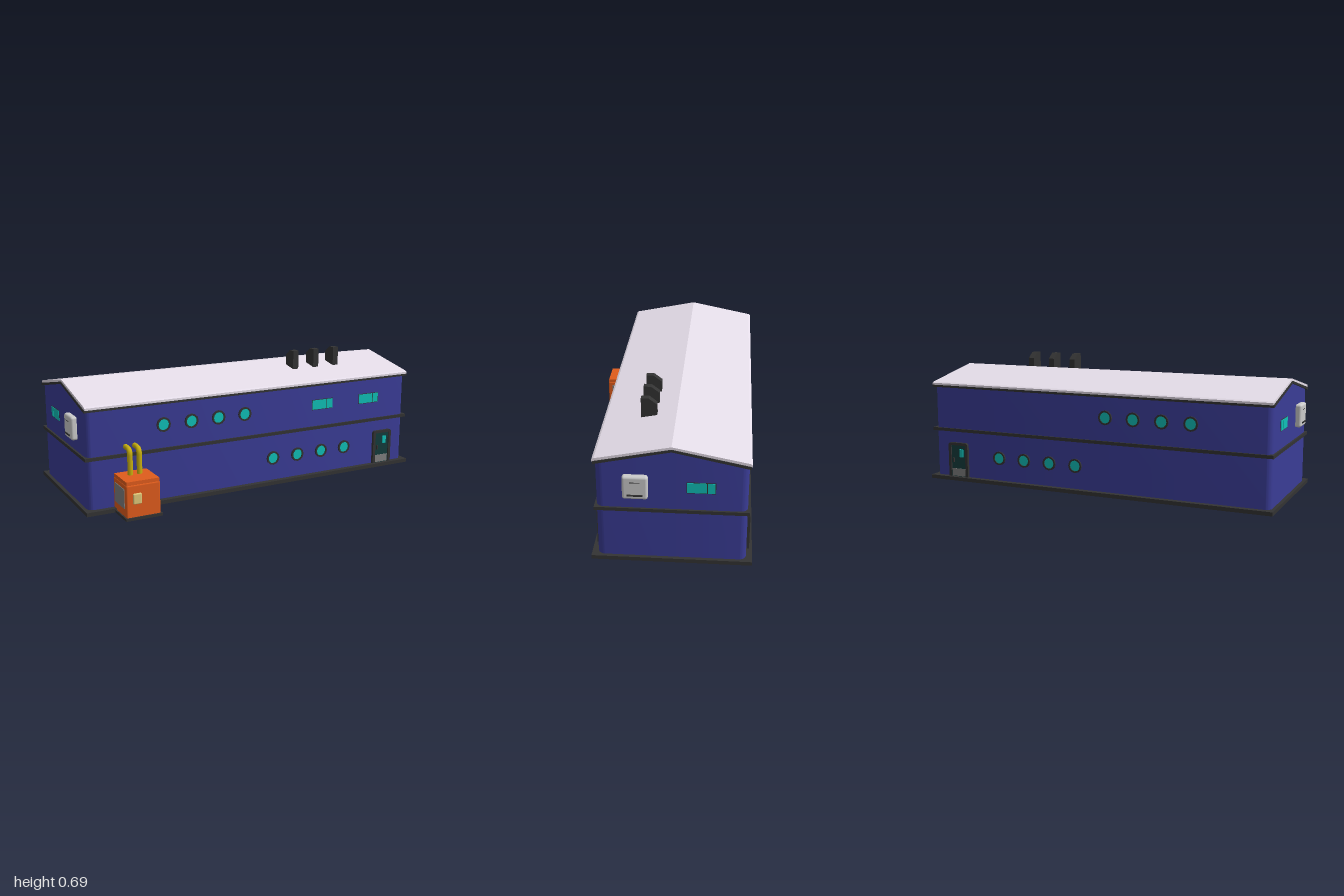
import * as THREE from 'three';
import { toCreasedNormals } from 'three/addons/utils/BufferGeometryUtils.js';
import { RoundedBoxGeometry } from 'three/addons/geometries/RoundedBoxGeometry.js';

const mat = (color) => new THREE.MeshStandardMaterial({ color });
const M = {
  wall: mat(0x3a3c96), roof: mat(0xe6deea), dark: mat(0x333333), glass: mat(0x10c0b8),
  orange: mat(0xe05c1c), yellow: mat(0xc8b010), door: mat(0x143c3c), grey: mat(0x808080),
  pale: mat(0xcccccc), cream: mat(0xe0c878),
};
const RIDGE = -0.073, FRONT = 0.282, BACK = -0.428, END = 0.965;

function add(parent, name, geo, material, x = 0, y = 0, z = 0) {
  const m = new THREE.Mesh(geo, material);
  m.name = name;
  m.position.set(x, y, z);
  parent.add(m);
  return m;
}

// box given by its limits on each axis
function span(parent, name, material, x0, x1, y0, y1, z0, z1) {
  return add(parent, name, new THREE.BoxGeometry(x1 - x0, y1 - y0, z1 - z0), material,
    (x0 + x1) / 2, (y0 + y1) / 2, (z0 + z1) / 2);
}

// (z, y) profile extruded along x, centred on x = 0
function profileX(points, width) {
  const shape = new THREE.Shape(points.map(([z, y]) => new THREE.Vector2(z, y)));
  return new THREE.ExtrudeGeometry(shape, { depth: width, bevelEnabled: false })
    .rotateY(-Math.PI / 2).translate(width / 2, 0, 0);
}

// rounded footprint raised to a gabled top
function wallGeometry() {
  const r = 0.035, s = new THREE.Shape(), yF = -FRONT, yB = -BACK;
  s.moveTo(-END + r, yF);
  s.absarc(END - r, yF + r, r, -Math.PI / 2, 0);
  s.lineTo(END, -RIDGE);
  s.absarc(END - r, yB - r, r, 0, Math.PI / 2);
  s.absarc(-END + r, yB - r, r, Math.PI / 2, Math.PI);
  s.lineTo(-END, -RIDGE);
  s.absarc(-END + r, yF + r, r, Math.PI, Math.PI * 1.5);
  const geo = new THREE.ExtrudeGeometry(s, { depth: 1, bevelEnabled: false, curveSegments: 6 });
  geo.rotateX(-Math.PI / 2);
  const p = geo.attributes.position;
  for (let i = 0; i < p.count; i++) {
    const top = 0.6 - 0.205 * Math.abs(p.getZ(i) - RIDGE);
    p.setY(i, p.getY(i) > 0.5 ? top : 0.01);
  }
  return toCreasedNormals(geo, 0.6);
}

// wall fittings, built facing +z with the wall at z = 0
function porthole() {
  const g = new THREE.Group();
  g.name = 'roundWindow';
  const ring = new THREE.Shape().absarc(0, 0, 0.038, 0, Math.PI * 2);
  ring.holes.push(new THREE.Path().absarc(0, 0, 0.029, 0, Math.PI * 2));
  add(g, 'windowRing', new THREE.ExtrudeGeometry(ring,
    { depth: 0.012, bevelEnabled: false, curveSegments: 6 }), M.dark, 0, 0, -0.003);
  add(g, 'roundGlass', new THREE.CircleGeometry(0.03, 12), M.glass, 0, 0, 0.004);
  return g;
}

function slidingWindow() {
  const g = new THREE.Group();
  g.name = 'slidingWindow';
  span(g, 'windowFrame', M.dark, -0.068, 0.068, -0.029, 0.029, -0.004, 0.001);
  span(g, 'widePane', M.glass, -0.065, 0.025, -0.026, 0.026, 0, 0.003);
  span(g, 'narrowPane', M.glass, 0.03, 0.065, -0.026, 0.026, 0, 0.003);
  return g;
}

function door() {
  const g = new THREE.Group();
  g.name = 'door';
  const r = 0.015, w = 0.062, h = 0.212;
  const s = new THREE.Shape();
  s.moveTo(-w, 0.01);
  s.lineTo(w, 0.01);
  s.absarc(w - r, h - r, r, 0, Math.PI / 2);
  s.absarc(-w + r, h - r, r, Math.PI / 2, Math.PI);
  const hole = new THREE.Path();
  hole.moveTo(-0.046, 0.02);
  hole.lineTo(-0.046, 0.197);
  hole.lineTo(0.046, 0.197);
  hole.lineTo(0.046, 0.02);
  s.holes.push(hole);
  add(g, 'doorFrame', new THREE.ExtrudeGeometry(s,
    { depth: 0.02, bevelEnabled: false, curveSegments: 4 }), M.dark, 0, 0, -0.005);
  span(g, 'doorPanel', M.door, -0.048, 0.048, 0.015, 0.2, -0.004, 0.008);
  span(g, 'kickPlate', M.grey, -0.042, 0.042, 0.023, 0.065, 0.006, 0.011);
  add(g, 'doorGlass', new RoundedBoxGeometry(0.026, 0.046, 0.008, 2, 0.004), M.glass, 0.018, 0.153, 0.008);
  span(g, 'doorHandle', M.dark, -0.036, -0.028, 0.1, 0.125, 0.008, 0.016);
  return g;
}

function ventUnit() {
  const g = new THREE.Group();
  g.name = 'airUnit';
  add(g, 'unitCase', new RoundedBoxGeometry(0.12, 0.12, 0.036, 3, 0.012), M.pale, 0, 0, 0.012);
  span(g, 'upperSlot', M.dark, -0.024, 0.024, 0.029, 0.032, 0.025, 0.031);
  span(g, 'lowerSlot', M.dark, -0.036, 0.036, -0.04, -0.033, 0.025, 0.035);
  return g;
}

function place(parent, fitting, x, y, z, turn) {
  fitting.position.set(x, y, z);
  fitting.rotation.y = turn;
  parent.add(fitting);
  return fitting;
}

function generator() {
  const g = new THREE.Group();
  g.name = 'generator';
  // open skirt around the foot of the cabinet
  span(g, 'frontSkirt', M.dark, -0.836, -0.644, 0, 0.014, 0.448, 0.46);
  for (const x of [-0.836, -0.656]) span(g, 'sideSkirt', M.dark, x, x + 0.012, 0, 0.014, 0.28, 0.448);
  add(g, 'cabinet', new RoundedBoxGeometry(0.178, 0.172, 0.18, 2, 0.008), M.orange, -0.74, 0.092, 0.362);
  span(g, 'cabinetLid', M.orange, -0.826, -0.654, 0.176, 0.195, 0.275, 0.449);
  for (const x of [-0.83, -0.65]) span(g, 'sideGrille', M.grey, x - 0.002, x + 0.002, 0.055, 0.155, 0.3, 0.427);
  add(g, 'controlPanel', new RoundedBoxGeometry(0.045, 0.055, 0.016, 2, 0.006), M.cream, -0.773, 0.107, 0.452);
  // two pipes bending into the wall
  for (const x of [-0.763, -0.714]) {
    const path = new THREE.CurvePath();
    const v = (y, z) => new THREE.Vector3(x, y, z);
    path.add(new THREE.LineCurve3(v(0.18, 0.341), v(0.295, 0.341)));
    path.add(new THREE.QuadraticBezierCurve3(v(0.295, 0.341), v(0.324, 0.341), v(0.324, 0.312)));
    path.add(new THREE.LineCurve3(v(0.324, 0.312), v(0.324, 0.27)));
    add(g, 'pipe', new THREE.TubeGeometry(path, 32, 0.0135, 10), M.yellow);
  }
  return g;
}

export function createModel() {
  const root = new THREE.Group();
  root.name = 'building';

  // shell
  span(root, 'foundation', M.dark, -0.983, 0.983, 0, 0.02, -0.457, 0.311);
  add(root, 'walls', wallGeometry(), M.wall);
  span(root, 'floorBand', M.dark, -0.975, 0.975, 0.273, 0.29, -0.437, 0.291);
  add(root, 'roofTrim', profileX([[0.29, 0.518], [0.29, 0.532], [RIDGE, 0.606], [-0.436, 0.532],
    [-0.436, 0.518], [RIDGE, 0.594]], 1.944), M.dark);
  add(root, 'roof', profileX([[0.293, 0.53], [0.293, 0.541], [0.283, 0.547], [RIDGE, 0.618], [-0.429, 0.547],
    [-0.439, 0.541], [-0.439, 0.53], [RIDGE, 0.604]], 1.936), M.roof);

  // roof vents
  for (const x of [0.333, 0.467, 0.6]) {
    add(root, 'roofVent', profileX([[0.102, 0.56], [0.102, 0.686], [0.064, 0.686], [0.023, 0.655],
      [0.023, 0.56]], 0.034), M.dark, x);
  }

  // front and back fittings
  for (const [z, turn] of [[FRONT, 0], [BACK, Math.PI]]) {
    for (let i = 0; i < 4; i++) {
      place(root, porthole(), -0.557 + i * 0.155, 0.412, z, turn);
      place(root, porthole(), 0.083 + i * 0.155, 0.145, z, turn);
    }
    place(root, door(), 0.81, 0, z, turn);
  }
  for (const x of [0.398, 0.71]) place(root, slidingWindow(), x, 0.411, FRONT, 0);

  // end walls
  for (const side of [1, -1]) {
    const turn = side * Math.PI / 2;
    place(root, ventUnit(), side * END, 0.41, 0.095, turn);
    const win = place(root, slidingWindow(), side * END, 0.408, -0.21, turn);
    if (side < 0) win.children.forEach((m) => { m.position.x *= -1; });
  }

  root.add(generator());
  return root;
}
